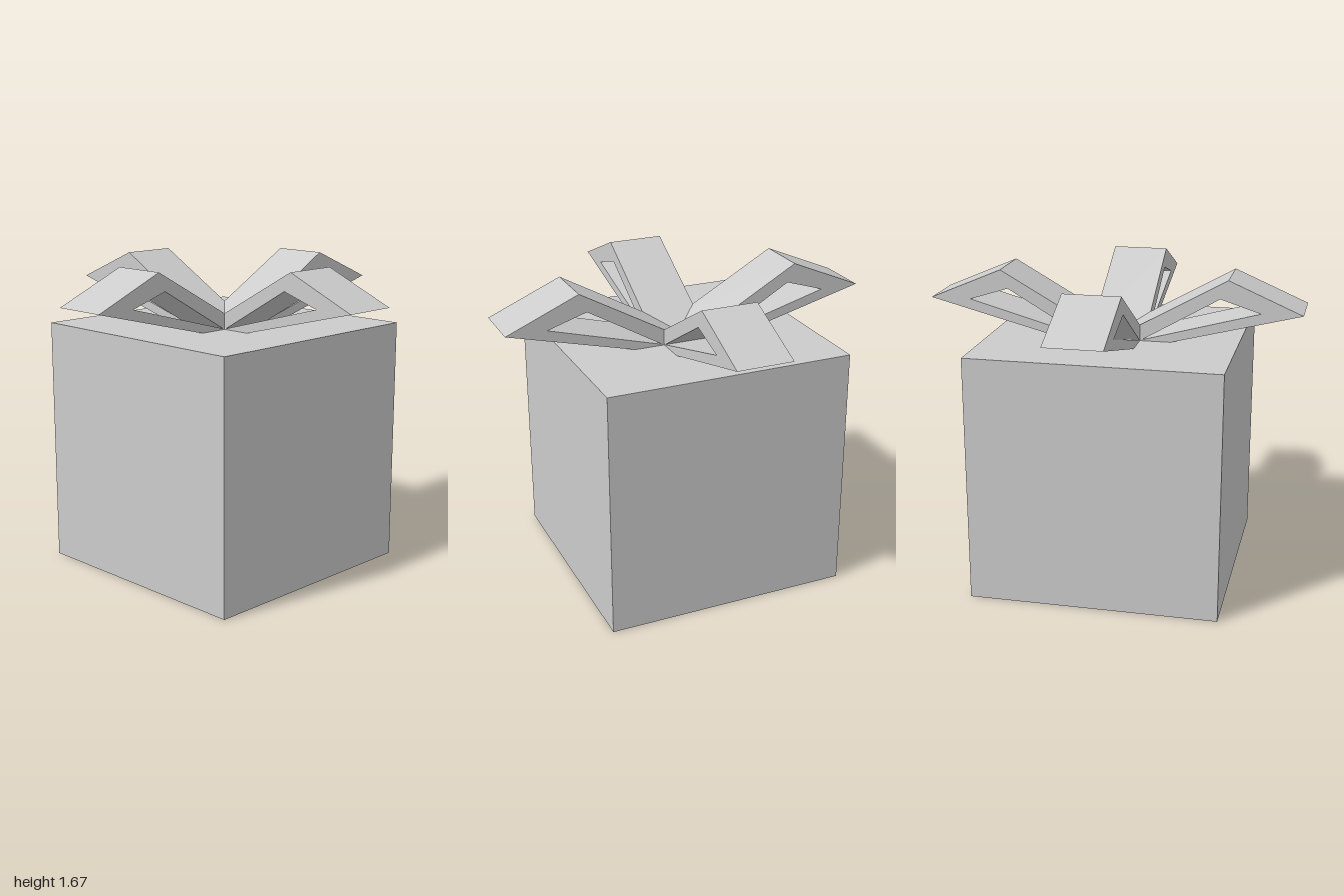
import * as THREE from 'three';

const BOX = 1.33;      // edge length of the box
const RIBBON = 0.3;    // ribbon width

const points = (list) => list.map(([x, y]) => new THREE.Vector2(x, y));

// One bow loop: a thin wedge-shaped frame reaching out along +x
function loopGeometry() {
  const shape = new THREE.Shape(points([[0, 1.25], [1, 1.508], [0.61, 1.675], [0, 1.332]]));
  shape.holes.push(new THREE.Path(points([[0.16, 1.336], [0.57, 1.575], [0.782, 1.508]])));
  const geometry = new THREE.ExtrudeGeometry(shape, { depth: RIBBON, bevelEnabled: false });
  return geometry.translate(0, 0, -RIBBON / 2);
}

export function createModel() {
  const model = new THREE.Group();
  model.name = 'giftBox';
  const material = new THREE.MeshStandardMaterial({ color: 0xcccccc, flatShading: true });

  // Box
  const box = new THREE.Mesh(new THREE.BoxGeometry(BOX, BOX, BOX), material);
  box.name = 'box';
  box.position.set(-0.006, BOX / 2 + 0.001, -0.004);
  model.add(box);

  // Bow: four loops around the centre of the lid
  const bow = new THREE.Group();
  bow.name = 'bow';
  bow.position.set(-0.003, 0, -0.003);
  const geometry = loopGeometry();
  ['leftLoop', 'backLoop', 'rightLoop', 'frontLoop'].forEach((name, i) => {
    const loop = new THREE.Mesh(geometry, material);
    loop.name = name;
    loop.rotation.y = i * Math.PI / 2;
    bow.add(loop);
  });
  model.add(bow);

  return model;
}
